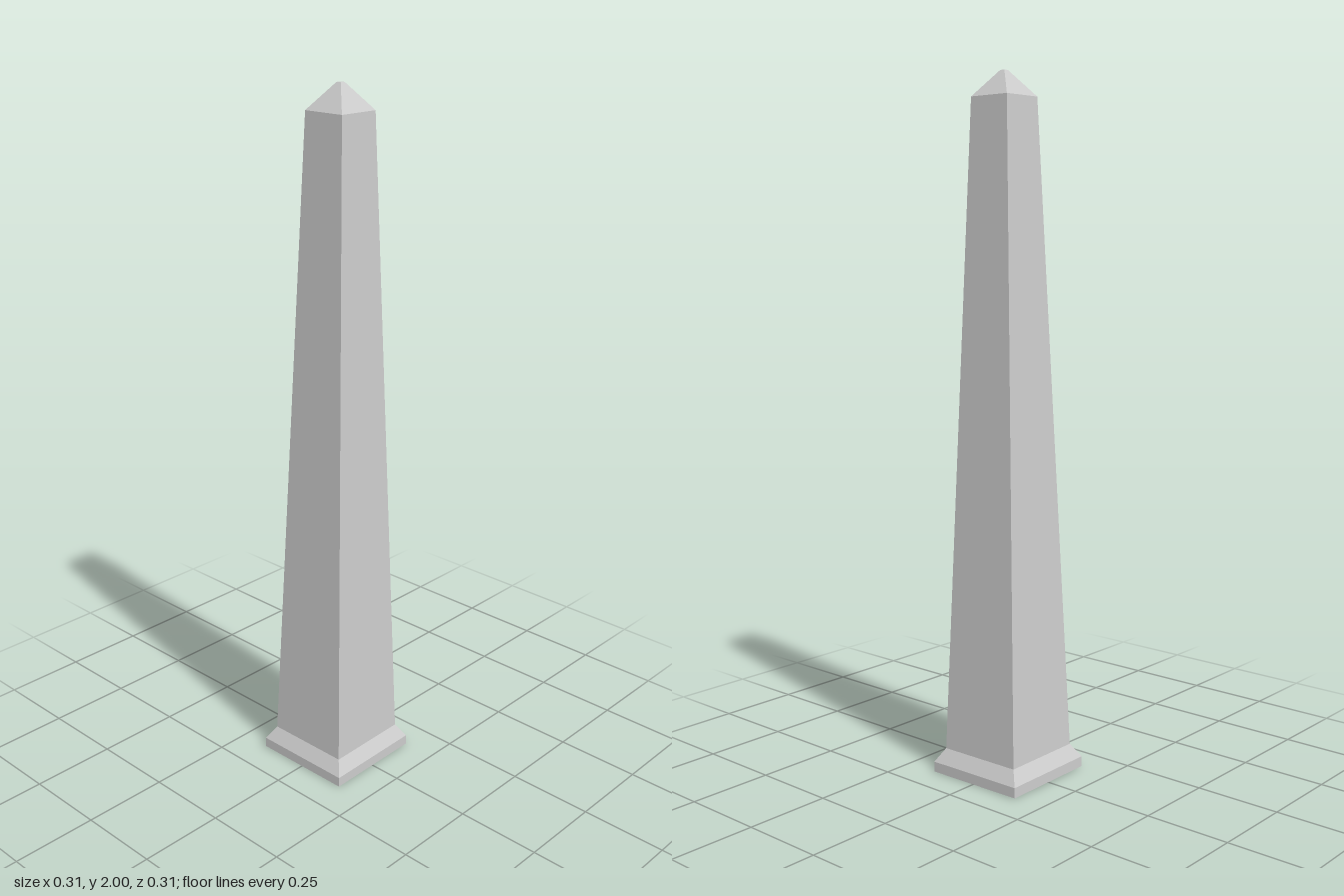
import * as THREE from 'three';

const material = new THREE.MeshStandardMaterial({
  color: 0xcccccc, flatShading: true, side: THREE.DoubleSide,
});

// Four-sided section from a profile of [half width, height] pairs, bottom to top
function squareSection(name, profile) {
  const points = profile.map(([half, y]) => new THREE.Vector2(half * Math.SQRT2, y));
  const mesh = new THREE.Mesh(new THREE.LatheGeometry(points, 4, Math.PI / 4), material);
  mesh.name = name;
  return mesh;
}

export function createModel() {
  const obelisk = new THREE.Group();
  obelisk.name = 'obelisk';

  obelisk.add(
    // Low foot with a sloped shoulder, open underneath
    squareSection('plinth', [[0.1535, 0], [0.1535, 0.03], [0.1285, 0.07]]),
    // Long tapering shaft
    squareSection('shaft', [[0.1285, 0.07], [0.0645, 1.928]]),
    // Pyramid cap with a tiny flat tip
    squareSection('cap', [[0.0645, 1.928], [0.0075, 1.999], [0, 1.999]]),
  );

  // Slight turn and lean of the weathered monument
  obelisk.rotation.set(-0.002, 0.013, -0.006);
  obelisk.position.set(-0.0015, 0.001, -0.002);

  const model = new THREE.Group();
  model.add(obelisk);
  return model;
}
